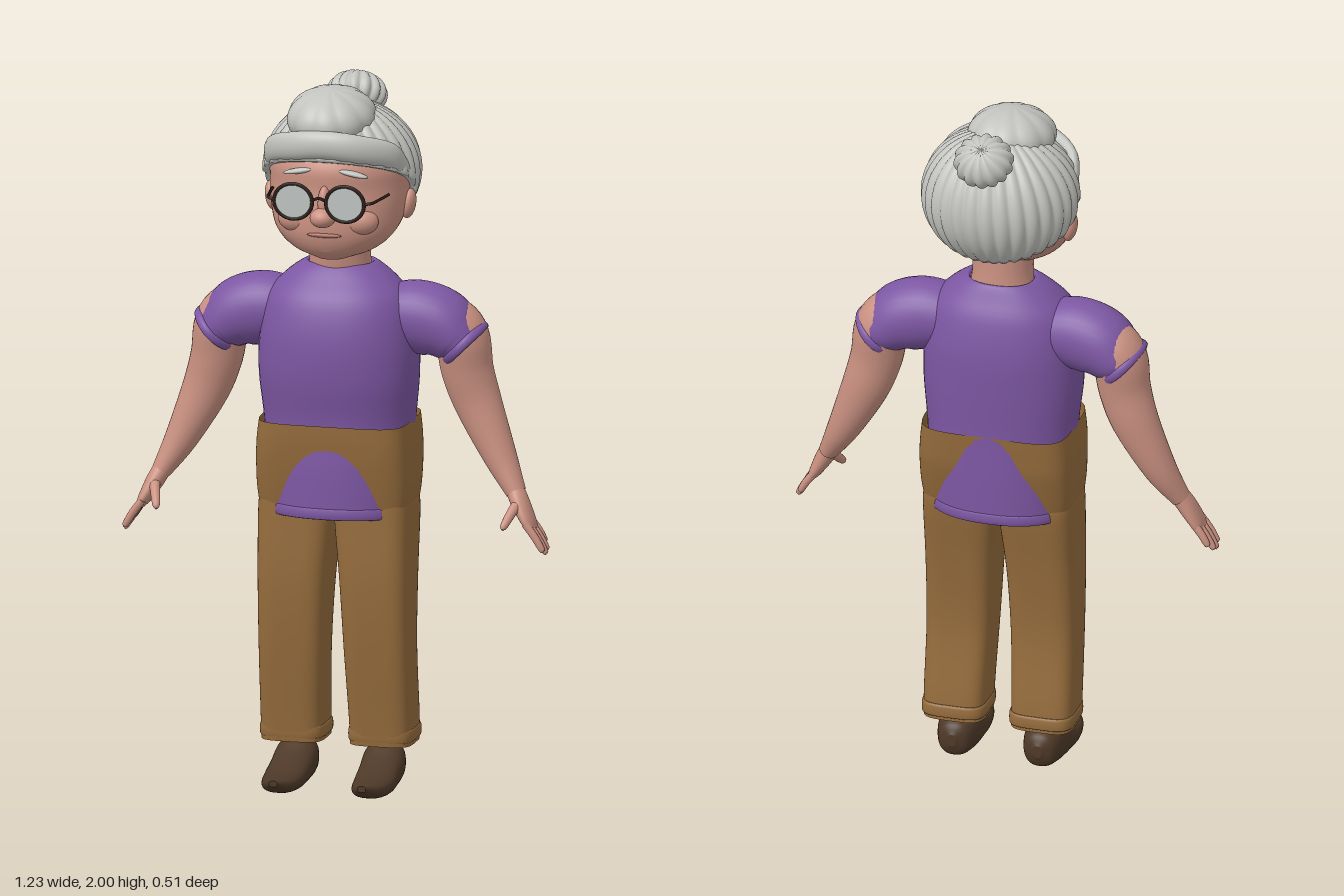
import * as THREE from 'three';

const mat = (name, color, side = THREE.FrontSide) => {
  const m = new THREE.MeshStandardMaterial({ color, side });
  m.name = name;
  return m;
};

// Smooth tube through stations [x, y, z, radiusU, radiusV]; p > 2 makes the section boxier.
function loft(stations, { v = [0, 0, 1], axis = null, p = 2, n = 32, k = 5, caps = true, floor = -9 } = {}) {
  const path = new THREE.CatmullRomCurve3(stations.map(s => new THREE.Vector3(s[0], s[1], s[2])), false, 'catmullrom');
  const size = new THREE.CatmullRomCurve3(stations.map(s => new THREE.Vector3(s[3], s[4], 0)), false, 'catmullrom');
  const rows = (stations.length - 1) * k, pos = [], idx = [], centres = [];
  const pw = c => Math.sign(c) * Math.abs(c) ** (2 / p);
  for (let i = 0; i <= rows; i++) {
    const t = i / rows, c = path.getPoint(t), r = size.getPoint(t);
    const T = axis ? new THREE.Vector3(...axis) : path.getTangent(t);
    const U = T.clone().cross(new THREE.Vector3(...v)).normalize();
    const V = U.clone().cross(T).normalize();
    centres.push(c);
    for (let j = 0; j < n; j++) {
      const a = j / n * Math.PI * 2;
      const q = c.clone().addScaledVector(U, r.x * pw(Math.cos(a))).addScaledVector(V, r.y * pw(Math.sin(a)));
      pos.push(q.x, Math.max(q.y, floor), q.z);
    }
  }
  for (let i = 0; i < rows; i++) for (let j = 0; j < n; j++) {
    const a = i * n + j, b = i * n + (j + 1) % n;
    idx.push(a, a + n, b, b, a + n, b + n);
  }
  if (caps) for (const row of [0, rows]) {
    const base = pos.length / 3, c = centres[row];
    for (let j = 0; j < n * 3; j++) pos.push(pos[row * n * 3 + j]);
    pos.push(c.x, Math.max(c.y, floor), c.z);
    for (let j = 0; j < n; j++) {
      const a = base + j, b = base + (j + 1) % n;
      row ? idx.push(base + n, b, a) : idx.push(base + n, a, b);
    }
  }
  return build(pos, idx);
}

function build(pos, idx) {
  const g = new THREE.BufferGeometry();
  g.setAttribute('position', new THREE.Float32BufferAttribute(pos, 3));
  g.setIndex(idx);
  g.computeVertexNormals();
  return g;
}

// Ellipsoid with swept strand ridges, cut at a polar angle and tucked inward at its edge.
function strands(rx, ry, rz, ridges, amp, swirl, edge = () => Math.PI * 0.97) {
  const n = ridges * 8, rows = 26, pos = [], idx = [];
  for (let i = 0; i <= rows; i++) for (let j = 0; j < n; j++) {
    const a = j / n * Math.PI * 2, f = Math.min(1, i / (rows - 1)), th = edge(Math.sin(a)) * f;
    let r = 1 - amp * Math.sin(th) * (1 - Math.abs(Math.sin(a * ridges / 2 + swirl * f)));
    if (i === rows) r *= 0.84;
    pos.push(rx * r * Math.sin(th) * Math.cos(a), ry * r * Math.cos(th), rz * r * Math.sin(th) * Math.sin(a));
  }
  for (let i = 0; i < rows; i++) for (let j = 0; j < n; j++) {
    const a = i * n + j, b = i * n + (j + 1) % n;
    idx.push(a, b, a + n, b, b + n, a + n);
  }
  return build(pos, idx);
}

const blob = (x, y, z, rx, ry, rz, tilt = 0) =>
  new THREE.SphereGeometry(1, 24, 16).scale(rx, ry, rz).rotateZ(tilt).translate(x, y, z);

function mirrored(geo) {
  const g = geo.clone().scale(-1, 1, 1), ix = g.index.array;
  for (let i = 0; i < ix.length; i += 3) [ix[i], ix[i + 1]] = [ix[i + 1], ix[i]];
  g.computeVertexNormals();
  return g;
}

export function createModel() {
  const root = new THREE.Group();
  root.name = 'elderlyWoman';
  const skin = mat('skin', 0xcb9282), lip = mat('lips', 0xa86f62);
  const shirt = mat('purple shirt', 0x7d57a3, THREE.DoubleSide);
  const cloth = mat('brown trousers', 0x956c3c, THREE.DoubleSide);
  const hair = mat('grey hair', 0xc2c2be, THREE.DoubleSide);
  const leather = mat('shoe leather', 0x4e3928), frame = mat('glasses frame', 0x2a1d17);
  const lens = mat('lens', 0xbfc4c1);
  const add = (name, geo, m) => {
    const mesh = new THREE.Mesh(geo, m);
    mesh.name = name;
    root.add(mesh);
  };
  const pair = (name, geo, m) => {
    add(name + 'Left', geo, m);
    add(name + 'Right', mirrored(geo), m);
  };
  const up = [0, 1, 0];

  // Shirt body and its hem
  add('shirtBody', loft([
    [0, 0.79, 0.008, 0.205, 0.16], [0, 0.92, 0.007, 0.208, 0.159], [0, 1.05, 0.005, 0.214, 0.155],
    [0, 1.18, 0.013, 0.226, 0.167], [0, 1.3, 0.013, 0.223, 0.167], [0, 1.4, 0.01, 0.203, 0.145],
    [0, 1.46, 0.003, 0.155, 0.108], [0, 1.498, -0.004, 0.1, 0.078], [0, 1.485, -0.004, 0.088, 0.07],
  ], { axis: up, p: 2.3, n: 48, caps: false }), shirt);
  add('shirtHem', loft([
    [0, 0.788, 0.008, 0.202, 0.154], [0, 0.79, 0.008, 0.207, 0.163], [0, 0.815, 0.008, 0.207, 0.163], [0, 0.82, 0.008, 0.203, 0.157],
  ], { axis: up, p: 2.3, n: 48, k: 2, caps: false }), shirt);

  // Trousers: open boxy waist, then two legs
  add('trouserWaist', loft([
    [0, 0.785, 0.015, 0.212, 0.112], [0, 0.86, 0.012, 0.221, 0.13], [0, 0.94, 0.009, 0.222, 0.147],
    [0, 1.0, 0.009, 0.219, 0.154], [0, 1.055, 0.008, 0.212, 0.158],
  ], { axis: up, p: 5, n: 64, caps: false }), cloth);
  pair('trouserLeg', loft([
    [0.1275, 0.125, 0, 0.09, 0.088], [0.1275, 0.2, 0.006, 0.091, 0.09], [0.123, 0.4, 0.03, 0.095, 0.09],
    [0.118, 0.6, 0.03, 0.101, 0.103], [0.11, 0.78, 0.015, 0.11, 0.115], [0.108, 0.84, 0.014, 0.108, 0.115],
  ], { axis: up, p: 4, n: 48 }), cloth);
  pair('trouserCuff', loft([
    [0.1275, 0.135, -0.002, 0.09, 0.088], [0.1275, 0.14, -0.002, 0.094, 0.092],
    [0.1275, 0.165, -0.001, 0.094, 0.092], [0.1275, 0.172, 0, 0.09, 0.088],
  ], { axis: up, p: 4, n: 48, k: 2 }), cloth);

  // Shoes
  pair('shoe', loft([
    [0.125, 0.06, -0.08, 0.012, 0.018], [0.125, 0.058, -0.06, 0.044, 0.05], [0.126, 0.06, -0.005, 0.06, 0.062],
    [0.128, 0.042, 0.06, 0.06, 0.047], [0.13, 0.028, 0.13, 0.058, 0.033], [0.13, 0.028, 0.2, 0.045, 0.024],
    [0.128, 0.042, 0.255, 0.012, 0.009],
  ], { v: up, axis: [0, 0, 1], p: 2.4, floor: 0 }), leather);

  // Sleeves with rolled cuff
  pair('sleeve', loft([
    [0.15, 1.35, -0.005, 0.09, 0.09], [0.22, 1.348, -0.005, 0.103, 0.096], [0.285, 1.332, -0.008, 0.1, 0.098],
    [0.33, 1.303, -0.01, 0.083, 0.095], [0.35, 1.287, -0.01, 0.071, 0.09], [0.368, 1.27, -0.01, 0.066, 0.086],
  ], { caps: false }), shirt);
  pair('sleeveCuff', loft([
    [0.349, 1.288, -0.01, 0.072, 0.088], [0.353, 1.284, -0.01, 0.079, 0.094],
    [0.364, 1.273, -0.01, 0.079, 0.094], [0.368, 1.269, -0.01, 0.068, 0.086],
  ], { k: 2, caps: false }), shirt);

  // Arms, palms, fingers and thumbs
  pair('arm', loft([
    [0.24, 1.37, -0.015, 0.06, 0.06], [0.31, 1.335, -0.015, 0.076, 0.078], [0.347, 1.292, -0.016, 0.077, 0.084],
    [0.362, 1.2, -0.018, 0.074, 0.07], [0.395, 1.1, -0.02, 0.067, 0.06], [0.46, 0.96, -0.005, 0.047, 0.048],
    [0.513, 0.865, 0.02, 0.028, 0.033],
  ]), skin);
  pair('palm', loft([
    [0.51, 0.872, 0.02, 0.026, 0.03], [0.53, 0.835, 0.032, 0.025, 0.038],
    [0.555, 0.79, 0.042, 0.018, 0.043], [0.568, 0.768, 0.044, 0.011, 0.038],
  ]), skin);
  [[0.012, 0.593, 0.732], [0.033, 0.604, 0.715], [0.055, 0.606, 0.709], [0.076, 0.602, 0.718]].forEach(([z, x, y], i) =>
    pair('finger' + (i + 1), loft([
      [0.553, 0.79, z, 0.011, 0.011], [(0.553 + x) / 2 + 0.003, (0.79 + y) / 2, z, 0.011, 0.0105],
      [x, y, z, 0.009, 0.009], [x + 0.004, y - 0.006, z, 0.003, 0.003],
    ], { n: 12, k: 3 }), skin));
  pair('thumb', loft([
    [0.528, 0.845, 0.04, 0.017, 0.017], [0.515, 0.82, 0.08, 0.014, 0.014],
    [0.503, 0.79, 0.115, 0.011, 0.011], [0.5, 0.78, 0.124, 0.004, 0.004],
  ], { v: [1, 0, 0], n: 14, k: 3 }), skin);

  // Neck, head and face
  add('neck', loft([
    [0, 1.46, -0.003, 0.092, 0.078], [0, 1.53, 0.005, 0.086, 0.082], [0, 1.63, 0.01, 0.092, 0.085],
  ], { axis: up }), skin);
  add('head', loft([
    [0, 1.528, 0.095, 0.04, 0.035], [0, 1.555, 0.065, 0.118, 0.098], [0, 1.6, 0.045, 0.168, 0.137],
    [0, 1.66, 0.012, 0.192, 0.173], [0, 1.73, -0.002, 0.199, 0.178], [0, 1.8, -0.01, 0.196, 0.183],
    [0, 1.88, -0.015, 0.14, 0.13], [0, 1.92, -0.015, 0.07, 0.07],
  ], { axis: up, n: 48 }), skin);
  add('nose', blob(0, 1.663, 0.197, 0.036, 0.028, 0.036), skin);
  add('noseBridge', blob(0, 1.7, 0.178, 0.018, 0.05, 0.025), skin);
  add('mouth', blob(0, 1.609, 0.18, 0.05, 0.007, 0.009), lip);
  add('chin', blob(0, 1.572, 0.135, 0.05, 0.03, 0.035), skin);
  pair('cheek', blob(0.09, 1.645, 0.135, 0.055, 0.04, 0.04), skin);
  pair('ear', blob(0.197, 1.672, 0, 0.02, 0.043, 0.03, -0.15), skin);
  pair('eye', blob(0.075, 1.715, 0.155, 0.03, 0.024, 0.022), lens);
  pair('eyebrow', blob(0.078, 1.786, 0.163, 0.046, 0.008, 0.014, -0.18), hair);

  // Glasses
  const rim = new THREE.TorusGeometry(0.054, 0.0055, 8, 36).scale(1.02, 0.94, 1).translate(0.075, 1.715, 0.235);
  pair('rim', rim, frame);
  pair('lens', new THREE.CylinderGeometry(0.054, 0.054, 0.004, 32).rotateX(Math.PI / 2)
    .scale(1.02, 0.94, 1).translate(0.075, 1.715, 0.235), lens);
  const wire = pts => new THREE.TubeGeometry(
    new THREE.CatmullRomCurve3(pts.map(q => new THREE.Vector3(...q))), 16, 0.0045, 6);
  add('glassesBridge', wire([[-0.022, 1.72, 0.235], [0, 1.728, 0.237], [0.022, 1.72, 0.235]]), frame);
  pair('temple', wire([[0.129, 1.718, 0.235], [0.148, 1.72, 0.228], [0.158, 1.72, 0.18], [0.168, 1.72, 0.11]]), frame);

  // Hair cap: short in front, dropping to the nape behind
  const hairline = f => Math.acos(((f > 0 ? 1.68 + 0.14 * Math.sqrt(f) : 1.68 + 0.08 * f) - 1.76) / 0.2);
  add('hairCap', strands(0.224, 0.2, 0.217, 30, 0.045, 2.2, hairline).translate(0, 1.76, -0.02), hair);
  // Swept roll over the forehead
  add('foreheadRoll', loft([
    [-0.198, 1.775, 0.03, 0.012, 0.02], [-0.17, 1.83, 0.1, 0.02, 0.035], [-0.09, 1.856, 0.157, 0.025, 0.04],
    [0, 1.866, 0.172, 0.027, 0.04], [0.09, 1.856, 0.157, 0.025, 0.04], [0.17, 1.83, 0.1, 0.02, 0.035],
    [0.198, 1.775, 0.03, 0.012, 0.02],
  ], { v: up }), hair);
  add('crownPuff', strands(0.126, 0.082, 0.135, 10, 0.05, 1.5).rotateX(0.14).translate(-0.015, 1.918, 0.04), hair);
  // Bun at the back
  add('bun', strands(0.086, 0.062, 0.082, 14, 0.12, 1.2).rotateX(-0.6).translate(0, 1.935, -0.182), hair);
  add('bunBase', blob(0, 1.89, -0.145, 0.062, 0.05, 0.05), hair);

  return root;
}
